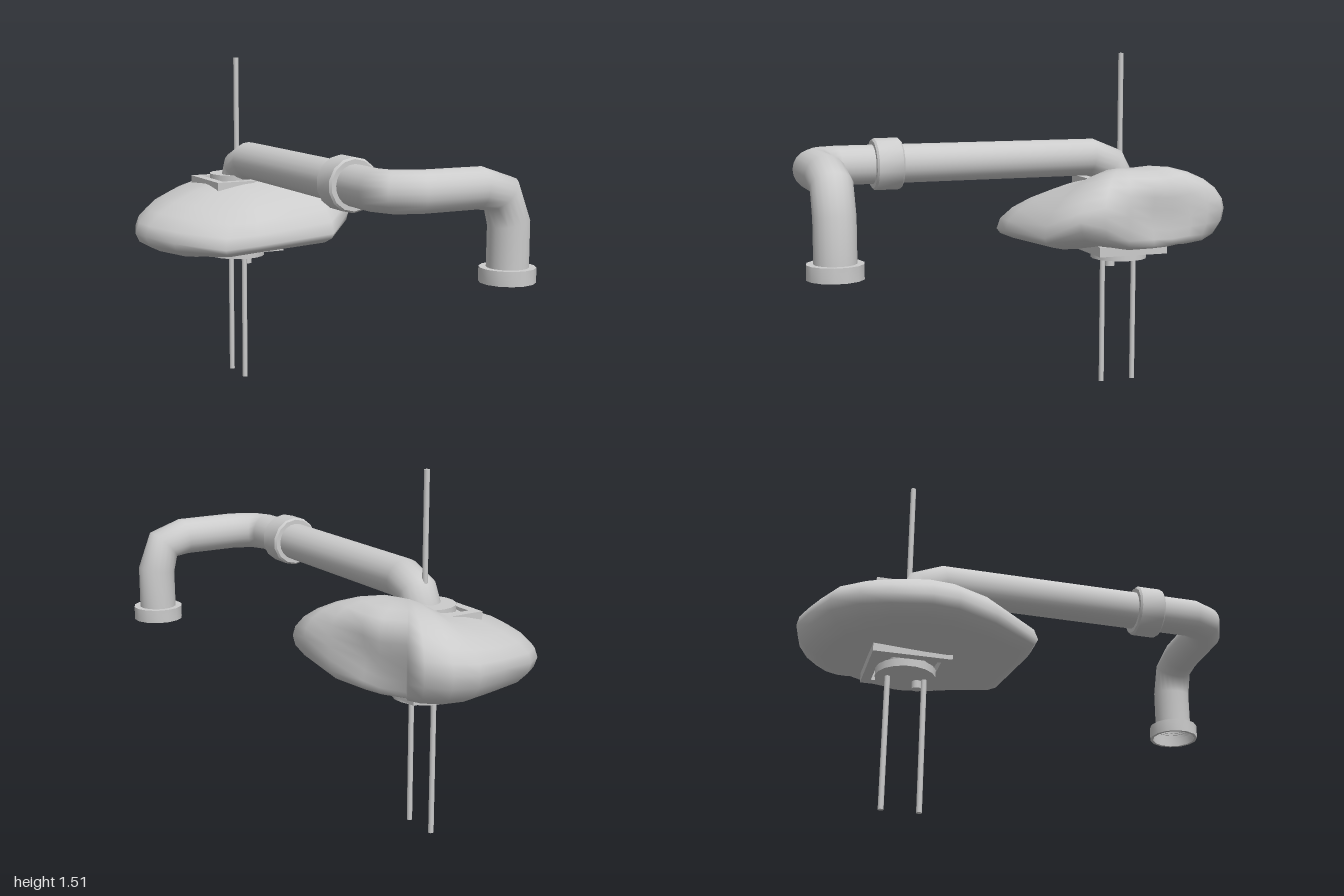
import * as THREE from 'three';
import { mergeVertices, toCreasedNormals } from 'three/addons/utils/BufferGeometryUtils.js';

const material = new THREE.MeshStandardMaterial({ color: 0xcccccc, side: THREE.DoubleSide });
const { lerp, clamp } = THREE.MathUtils;

function add(parent, name, geometry, x = 0, y = 0, z = 0) {
  const mesh = new THREE.Mesh(geometry, material);
  mesh.name = name;
  mesh.position.set(x, y, z);
  parent.add(mesh);
  return mesh;
}

// Skin a list of closed rings (arrays of Vector3, equal length)
function skin(rings) {
  const n = rings[0].length, position = [], index = [];
  rings.forEach((ring) => ring.forEach((p) => position.push(p.x, p.y, p.z)));
  for (let k = 0; k < rings.length - 1; k++) {
    for (let i = 0; i < n; i++) {
      const j = (i + 1) % n, a = k * n + i, b = a + n, c = (k + 1) * n + j, d = k * n + j;
      index.push(a, b, c, a, c, d);
    }
  }
  let g = new THREE.BufferGeometry();
  g.setAttribute('position', new THREE.Float32BufferAttribute(position, 3));
  g.setIndex(index);
  g = mergeVertices(g);
  g.computeVertexNormals();
  return g;
}

// Round pipe through straight runs and coarse bends; the first run must not lie along x
function pipe(points, radius, sides = 20) {
  const pts = points.map((p) => new THREE.Vector3(...p));
  const last = pts.length - 1;
  const dir = (i) => pts[i + 1].clone().sub(pts[i]).normalize();
  let tangent = dir(0);
  const u = new THREE.Vector3(1, 0, 0);
  const rings = pts.map((p, i) => {
    const t = i === 0 ? dir(0) : i === last ? dir(last - 1) : dir(i - 1).add(dir(i)).normalize();
    u.applyQuaternion(new THREE.Quaternion().setFromUnitVectors(tangent, t));
    tangent = t;
    const v = new THREE.Vector3().crossVectors(t, u);
    return Array.from({ length: sides }, (_, k) => {
      const a = -k / sides * Math.PI * 2;
      return p.clone().addScaledVector(u, Math.cos(a) * radius).addScaledVector(v, Math.sin(a) * radius);
    });
  });
  return skin(rings);
}

// Lumpy stone: rows are x, z, rim height, underside height, crown roundness
function stoneGeometry() {
  const rim = [
    [0, -1, 0.80, 0.645, 2.3], [-0.15, -0.96, 0.79, 0.645, 2.2], [-0.33, -0.90, 0.77, 0.64, 2],
    [-0.45, -0.80, 0.75, 0.63, 1.8], [-0.525, -0.69, 0.73, 0.62, 1.8], [-0.58, -0.53, 0.72, 0.61, 1.9],
    [-0.57, -0.42, 0.72, 0.605, 1.9], [-0.50, -0.25, 0.71, 0.605, 1.9], [-0.34, -0.04, 0.70, 0.635, 1.7],
    [-0.19, -0.03, 0.71, 0.65, 1.6], [0.2, -0.07, 0.73, 0.66, 1.7], [0.335, -0.18, 0.81, 0.69, 2],
    [0.345, -0.29, 0.83, 0.68, 2.3], [0.31, -0.42, 0.82, 0.66, 2.3], [0.23, -0.565, 0.79, 0.66, 2.3],
    [0.225, -0.66, 0.78, 0.66, 2.3], [0.18, -0.775, 0.79, 0.655, 2.3], [0.22, -0.84, 0.81, 0.655, 2.5],
    [0.2, -0.92, 0.82, 0.65, 2.6], [0.11, -0.98, 0.81, 0.645, 2.5],
  ];
  const cx = 0, cz = -0.53;
  const ring = (s, upper) => rim.map(([x, z, edge, bottom, p]) => {
    // Inner rings grow rounder toward the middle
    const length = Math.hypot(x - cx, z - cz);
    const r = s * lerp(0.45 / length, 1, s * s);
    const crown = lerp(0.995, 0.965 + 0.05 * clamp(x / 0.2 + 0.6, 0, 1), Math.min(1, s * 3));
    const y = upper
      ? edge + (crown - edge) * Math.sqrt(1 - s ** p)
      : edge - (edge - lerp(0.66, bottom, s)) * Math.sqrt(1 - s ** 6);
    return new THREE.Vector3(cx + (x - cx) * r, s === 0 ? (upper ? 0.995 : 0.66) : y, cz + (z - cz) * r);
  });
  const steps = [0, 0.25, 0.45, 0.64, 0.8, 0.91, 0.98];
  return skin([
    ...steps.map((s) => ring(s, true)),
    ring(1, true),
    ...steps.slice().reverse().map((s) => ring(s, false)),
  ]);
}

// Square open frame lying flat, centred on its own origin
function frameGeometry(size, bar, height) {
  const square = (h) => [[-h, -h], [h, -h], [h, h], [-h, h]].map(([x, y]) => new THREE.Vector2(x, y));
  const shape = new THREE.Shape(square(size / 2));
  shape.holes.push(new THREE.Path(square(size / 2 - bar).reverse()));
  return new THREE.ExtrudeGeometry(shape, { depth: height, bevelEnabled: false })
    .translate(0, 0, -height / 2).rotateX(-Math.PI / 2);
}

// Turned ring from a profile of [radius, height] points
function turned(profile) {
  return toCreasedNormals(new THREE.LatheGeometry(profile.map((p) => new THREE.Vector2(...p)), 14), 0.6);
}

export function createModel() {
  const model = new THREE.Group();
  model.name = 'stoneWithPipe';
  const X = -0.07, Z = -0.54;

  add(model, 'stone', stoneGeometry());

  // Long pipe: rises out of the stone, runs forward, turns left, then down
  add(model, 'pipe', pipe([
    [X, 0.62, -0.53], [X, 0.92, -0.53], [X, 1.01, -0.485], [X, 1.045, -0.39],
    [X, 1.045, 0.77], [-0.035, 1.045, 0.845], [0.06, 1.045, 0.885],
    [0.32, 1.045, 0.885], [0.425, 1.016, 0.885], [0.465, 0.9, 0.885], [0.465, 0.7, 0.885],
  ], 0.084));

  const collar = add(model, 'pipeCollar', turned([
    [0.08, -0.06], [0.103, -0.06], [0.111, -0.052], [0.111, 0.052], [0.103, 0.06], [0.08, 0.06],
  ]), X, 1.045, 0.55);
  collar.rotation.x = Math.PI / 2;
  add(model, 'spoutRim', turned([
    [0.08, 0.02], [0.1, 0.02], [0.1, -0.03], [0.113, -0.03], [0.113, 0.03], [0.08, 0.03],
  ]), 0.465, 0.695, 0.885);

  // Matching mounts above and below the stone
  for (const [side, frameY, discY] of [['upper', 0.928, 0.955], ['lower', 0.635, 0.597]]) {
    add(model, side + 'Frame', frameGeometry(0.33, 0.04, 0.045), X, frameY, Z);
    add(model, side + 'Disc', new THREE.CylinderGeometry(0.128, 0.128, 0.034, 18), X, discY, Z);
  }
  add(model, 'mountBoss', new THREE.CylinderGeometry(0.022, 0.022, 0.05, 12), -0.045, 0.572, -0.485);

  // Thin rods: one up through the pipe bend, two hanging down to the ground
  const rod = (name, z, y0, y1) =>
    add(model, name, new THREE.CylinderGeometry(0.012, 0.012, y1 - y0, 10), X, (y0 + y1) / 2, z);
  rod('topRod', -0.54, 0.98, 1.51);
  rod('frontRod', -0.46, 0, 0.6);
  rod('backRod', -0.615, 0, 0.6);

  return model;
}
